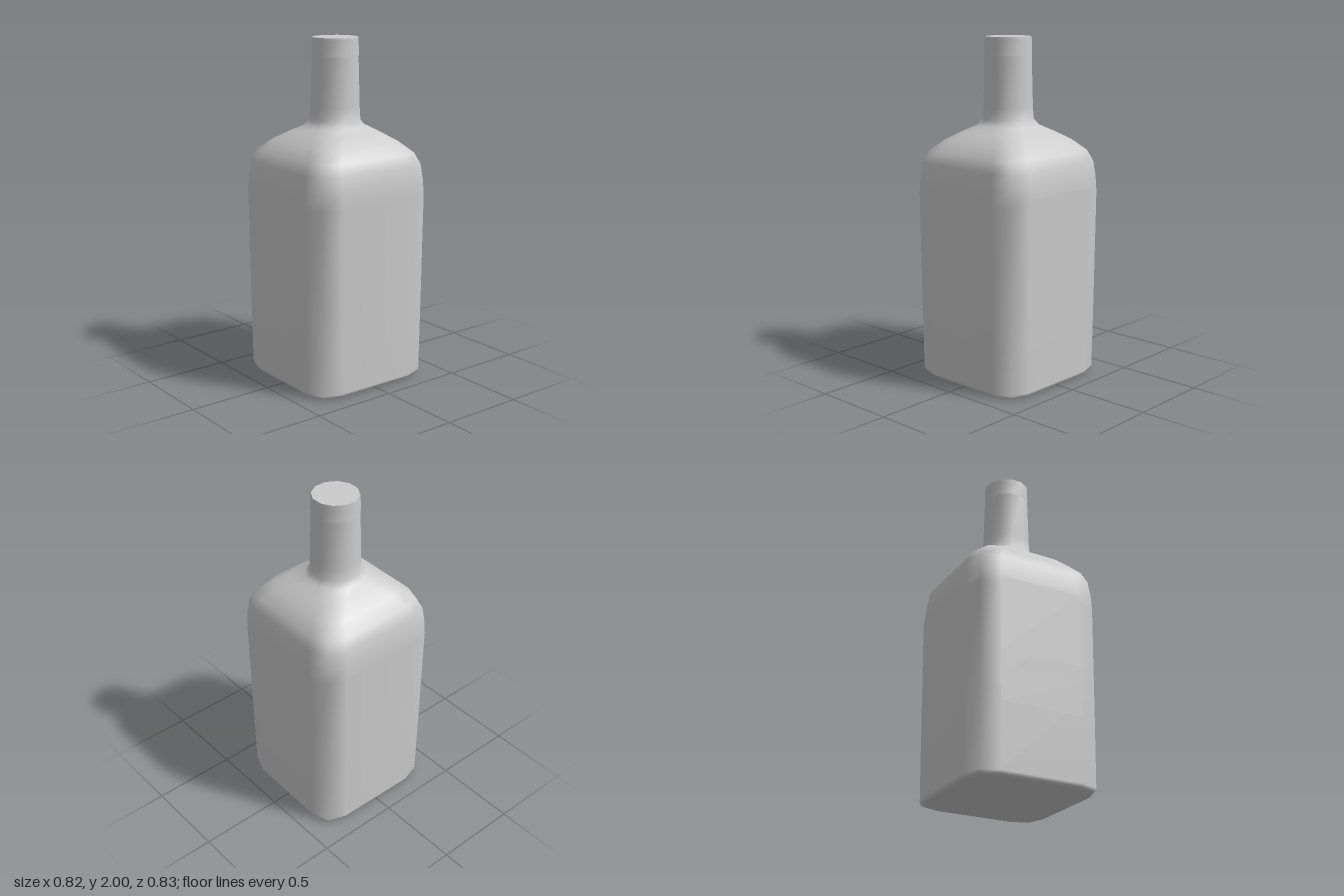
import * as THREE from 'three';

const material = new THREE.MeshStandardMaterial({ color: 0xcccccc, roughness: 0.7 });
const labelMaterial = new THREE.MeshStandardMaterial({ color: 0xcccccc, roughness: 0.7, side: THREE.DoubleSide });

// One quarter of a ring with half-width 1: soft square and twelve-sided circle
const SQUARE = [[1, 0.63], [0.905, 0.905], [0.63, 1]];
const CIRCLE = [[1, 0.268], [0.732, 0.732], [0.268, 1]];

// Twelve [x, z] points; roundness 0 is the soft square, 1 the circle
function ring(halfWidth, roundness) {
  const points = [];
  for (let quarter = 0; quarter < 4; quarter++) {
    for (let i = 0; i < 3; i++) {
      let x = THREE.MathUtils.lerp(SQUARE[i][0], CIRCLE[i][0], roundness) * halfWidth;
      let z = THREE.MathUtils.lerp(SQUARE[i][1], CIRCLE[i][1], roundness) * halfWidth;
      for (let k = 0; k < quarter; k++) [x, z] = [-z, x];
      points.push([x, z]);
    }
  }
  return points;
}

// Smooth skin over sections [y, halfWidth, roundness], listed from bottom to top
function loft(sections) {
  const positions = [], index = [], n = 12;
  sections.forEach(([y, w, t], s) => {
    ring(w, t).forEach(([x, z]) => positions.push(x, y, z));
    if (s === 0) return;
    for (let i = 0; i < n; i++) {
      const j = (i + 1) % n, a = (s - 1) * n, b = s * n;
      index.push(a + i, b + i, a + j, a + j, b + i, b + j);
    }
  });
  const geometry = new THREE.BufferGeometry();
  geometry.setAttribute('position', new THREE.Float32BufferAttribute(positions, 3));
  geometry.setIndex(index);
  geometry.computeVertexNormals();
  return geometry;
}

// Flat disc closing a ring, facing up or down
function lid(y, halfWidth, roundness, up) {
  const shape = new THREE.Shape(ring(halfWidth, roundness).map(([x, z]) => new THREE.Vector2(x, up ? -z : z)));
  return new THREE.ShapeGeometry(shape).rotateX(up ? -Math.PI / 2 : Math.PI / 2).translate(0, y, 0);
}

export function createModel() {
  const bottle = new THREE.Group();
  bottle.name = 'bottle';
  const add = (name, geometry, mat = material) => {
    const mesh = new THREE.Mesh(geometry, mat);
    mesh.name = name;
    bottle.add(mesh);
    return mesh;
  };

  // Square body, sloping shoulders and round neck in one skin
  add('bottleBody', loft([
    [0, 0.375, 0], [0.008, 0.388, 0], [0.025, 0.395, 0], [0.5, 0.4, 0], [1.1, 0.405, 0],
    [1.19, 0.4, 0], [1.28, 0.388, 0], [1.345, 0.36, 0.03], [1.41, 0.292, 0.12],
    [1.46, 0.22, 0.4], [1.495, 0.165, 0.85], [1.53, 0.142, 1], [1.6, 0.138, 1], [1.9, 0.13, 1],
  ]));
  add('base', lid(0, 0.375, 0, false));

  // Cap
  add('capSide', loft([[1.895, 0.132, 1], [1.985, 0.13, 1], [2, 0.128, 1]]));
  add('capTop', lid(2, 0.128, 1, true));

  // Thin labels: name, bottom, top, side (1 front, -1 back)
  const labels = [
    ['frontUpperLabel', 0.7, 1.14, 1],
    ['frontLowerLabel', 0.4, 0.6, 1],
    ['backLabel', 0.29, 1.14, -1],
  ];
  for (const [name, bottom, top, side] of labels) {
    const label = add(name, new THREE.PlaneGeometry(0.51, top - bottom), labelMaterial);
    label.position.set(0, (bottom + top) / 2, side * 0.41);
    if (side < 0) label.rotation.y = Math.PI;
  }

  // The bottle stands very slightly turned
  bottle.rotation.y = -0.015;
  const model = new THREE.Group();
  model.add(bottle);
  return model;
}
